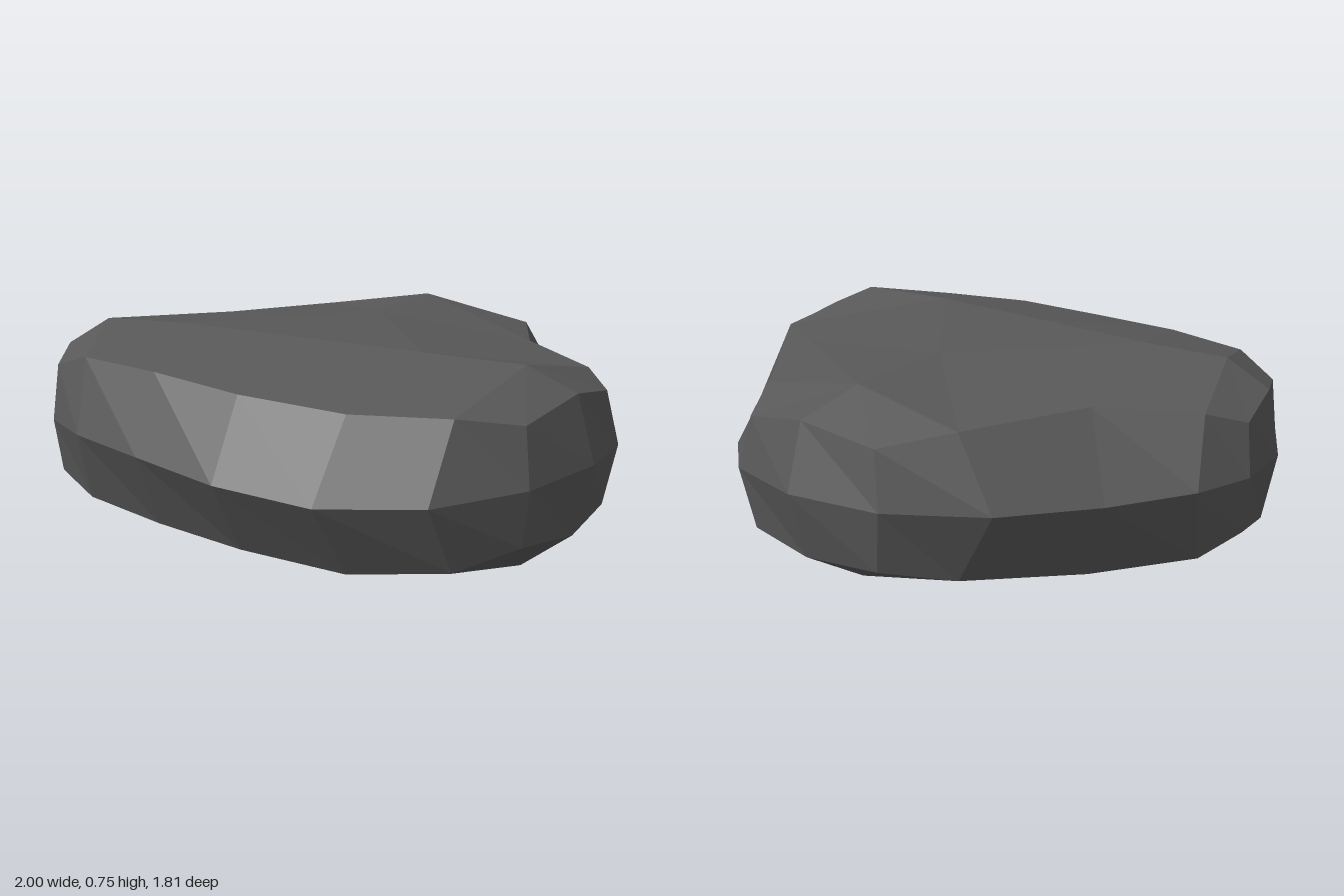
import * as THREE from 'three';

// Girdle outline and the smaller rim used above and below it, as [x, z] from the back round the left side
const girdle = [[0.04, -0.91], [0.34, -0.85], [0.56, -0.66], [0.72, -0.43], [0.88, -0.26],
  [0.98, -0.08], [1, 0.2], [0.91, 0.51], [0.69, 0.76], [0.37, 0.9],
  [0.01, 0.9], [-0.33, 0.83], [-0.63, 0.75], [-0.83, 0.63], [-0.97, 0.41],
  [-1, 0.18], [-0.94, -0.04], [-0.77, -0.31], [-0.55, -0.6], [-0.28, -0.83]];
const rim = [[0.04, -0.84], [0.3, -0.82], [0.4, -0.65], [0.57, -0.28], [0.85, -0.12],
  [0.95, -0.03], [0.94, 0.21], [0.88, 0.48], [0.71, 0.63], [0.4, 0.74],
  [0.01, 0.74], [-0.34, 0.7], [-0.66, 0.65], [-0.83, 0.59], [-0.92, 0.41],
  [-0.97, 0.2], [-0.89, 0.06], [-0.62, -0.19], [-0.41, -0.6], [-0.24, -0.8]];

// Heights of the three loops
const girdleY = [0.43, 0.425, 0.405, 0.395, 0.405, 0.42, 0.43, 0.42, 0.4, 0.39,
  0.405, 0.425, 0.435, 0.43, 0.425, 0.42, 0.42, 0.41, 0.41, 0.425];
const upperY = [0.66, 0.61, 0.66, 0.685, 0.66, 0.615, 0.66, 0.615, 0.65, 0.65,
  0.66, 0.68, 0.68, 0.62, 0.65, 0.6, 0.65, 0.68, 0.66, 0.62];
const lowerY = [0.185, 0.21, 0.15, 0.09, 0.15, 0.22, 0.185, 0.22, 0.155, 0.13,
  0.14, 0.155, 0.18, 0.235, 0.18, 0.21, 0.14, 0.09, 0.15, 0.2];

// Inner points of each cap: a ridge across the front half (20-24) and two points behind it (25, 26)
const inner = [[-0.78, 0.36], [-0.48, 0.31], [0, 0.3], [0.43, 0.29], [0.78, 0.25], [0, -0.62], [0, -0.22]];
const innerTop = [0.745, 0.75, 0.75, 0.75, 0.742, 0.735, 0.743];
const innerBottom = [0.065, 0.03, 0.012, 0.02, 0.065, 0.05, 0];

// Cap facets, shared by top and bottom
const facets = [[6, 7, 8, 24], [8, 9, 23, 24], [9, 10, 22, 23], [10, 11, 21, 22],
  [11, 12, 20, 21], [12, 13, 14, 20], [14, 15, 16, 20], [16, 17, 21, 20],
  [17, 26, 22, 21], [17, 18, 25, 26], [18, 19, 0, 25], [0, 1, 2, 25],
  [2, 3, 26, 25], [3, 23, 22, 26], [3, 4, 24, 23], [4, 5, 6, 24]];

const lift = (points, heights) => points.map(([x, z], i) => [x, heights[i], z]);

// Flat facets from a list of quads
function facetMesh(name, quads, material) {
  const positions = [];
  for (const [a, b, c, d] of quads) positions.push(...a, ...b, ...c, ...a, ...c, ...d);
  const geometry = new THREE.BufferGeometry();
  geometry.setAttribute('position', new THREE.Float32BufferAttribute(positions, 3));
  geometry.computeVertexNormals();
  const mesh = new THREE.Mesh(geometry, material);
  mesh.name = name;
  return mesh;
}

// Band of quads between two loops, lower loop first
const band = (low, high) => low.map((p, i) => {
  const j = (i + 1) % low.length;
  return [p, high[i], high[j], low[j]];
});

export function createModel() {
  const stone = new THREE.MeshStandardMaterial({ color: 0x585858, flatShading: true });
  stone.name = 'dark grey stone';

  const middle = lift(girdle, girdleY);
  const upper = lift(rim, upperY);
  const lower = lift(rim, lowerY);
  const top = [...upper, ...lift(inner, innerTop)];
  const bottom = [...lower, ...lift(inner, innerBottom)];

  const rock = new THREE.Group();
  rock.name = 'rock';
  rock.add(
    facetMesh('upperSides', band(middle, upper), stone),
    facetMesh('lowerSides', band(lower, middle), stone),
    facetMesh('topFace', facets.map(f => [...f].reverse().map(i => top[i])), stone),
    facetMesh('underside', facets.map(f => f.map(i => bottom[i])), stone)
  );
  return rock;
}
